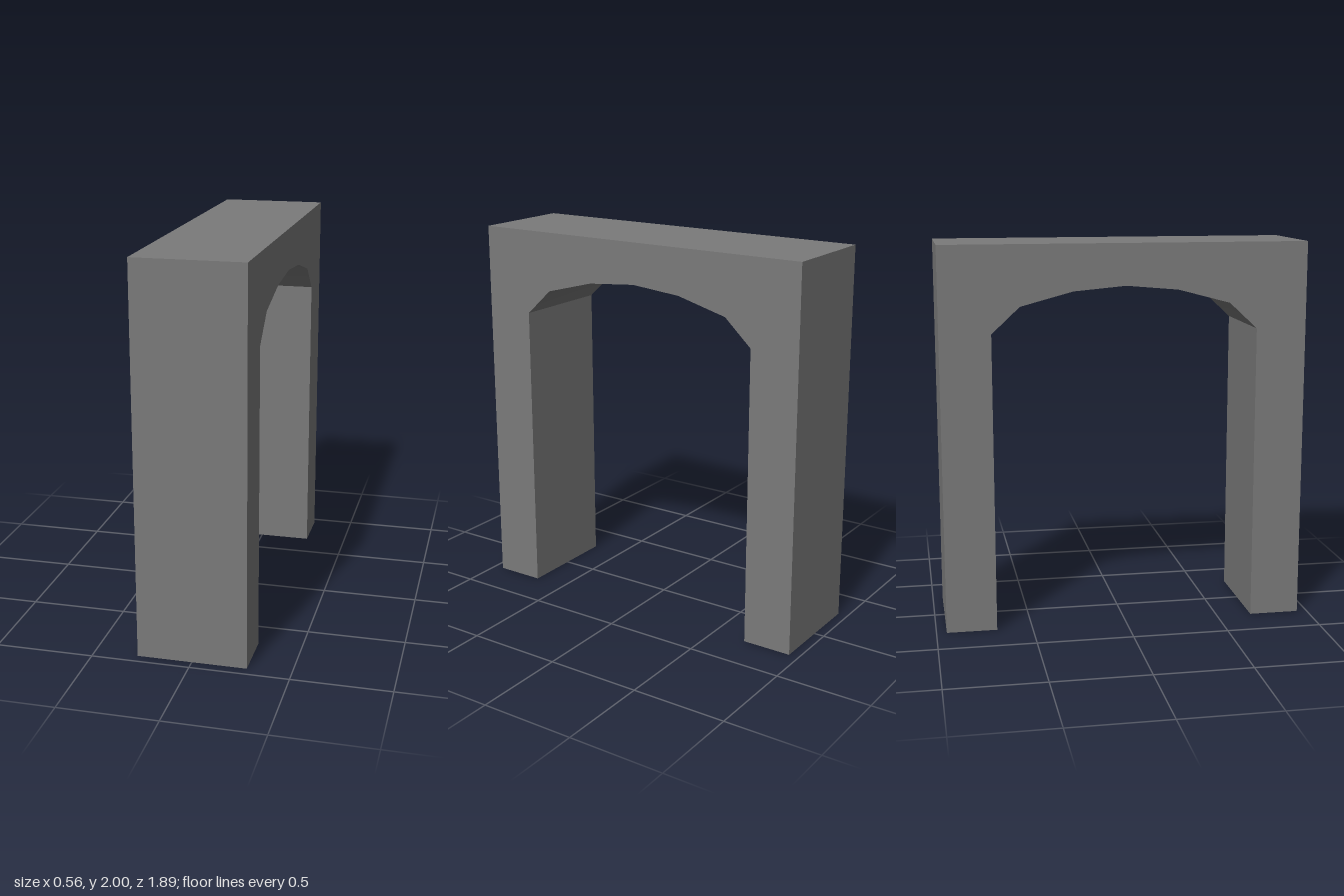
import * as THREE from 'three';

const HALF_WIDTH = 0.278, HALF_DEPTH = 0.947, HEIGHT = 2;
const OPENING = 0.685, SPRING = 1.555;

// Sweep a (z, y) path across the full width; normals are smooth along the path
function strip(path) {
  const positions = [], index = [];
  path.forEach(([z, y], i) => {
    positions.push(-HALF_WIDTH, y, z, HALF_WIDTH, y, z);
    if (i > 0) {
      const a = 2 * i - 2;
      index.push(a, a + 1, a + 3, a, a + 3, a + 2);
    }
  });
  const geometry = new THREE.BufferGeometry();
  geometry.setAttribute('position', new THREE.Float32BufferAttribute(positions, 3));
  geometry.setIndex(index);
  geometry.computeVertexNormals();
  return geometry;
}

export function createModel() {
  const group = new THREE.Group();
  group.name = 'archway';
  const stone = new THREE.MeshStandardMaterial({ color: 0x7a7a7a, side: THREE.DoubleSide });
  stone.name = 'grey stone';

  const add = (name, geometry) => {
    const mesh = new THREE.Mesh(geometry, stone);
    mesh.name = name;
    group.add(mesh);
  };

  // Underside of the arch, from back to front
  const arch = [
    [-OPENING, SPRING], [-0.54, 1.69], [-0.27, 1.762], [0, 1.786],
    [0.27, 1.762], [0.54, 1.69], [OPENING, SPRING],
  ];

  // Side faces with the arched opening
  const outline = new THREE.Shape([
    [-HALF_DEPTH, 0], [-OPENING, 0], ...arch, [OPENING, 0],
    [HALF_DEPTH, 0], [HALF_DEPTH, HEIGHT], [-HALF_DEPTH, HEIGHT],
  ].map(([z, y]) => new THREE.Vector2(z, y)));
  for (const [name, side] of [['leftFace', 1], ['rightFace', -1]]) {
    add(name, new THREE.ShapeGeometry(outline)
      .rotateY(side * Math.PI / 2).translate(side * HALF_WIDTH, 0, 0));
  }

  // Outer walls and top; the hollow legs stay open at the bottom
  add('frontWall', strip([[HALF_DEPTH, 0], [HALF_DEPTH, HEIGHT]]));
  add('top', strip([[HALF_DEPTH, HEIGHT], [-HALF_DEPTH, HEIGHT]]));
  add('backWall', strip([[-HALF_DEPTH, HEIGHT], [-HALF_DEPTH, 0]]));

  // Inner leg walls and the smooth arch between them
  add('backLegInnerWall', strip([[-OPENING, 0], [-OPENING, SPRING]]));
  add('archUnderside', strip(arch));
  add('frontLegInnerWall', strip([[OPENING, SPRING], [OPENING, 0]]));

  return group;
}
